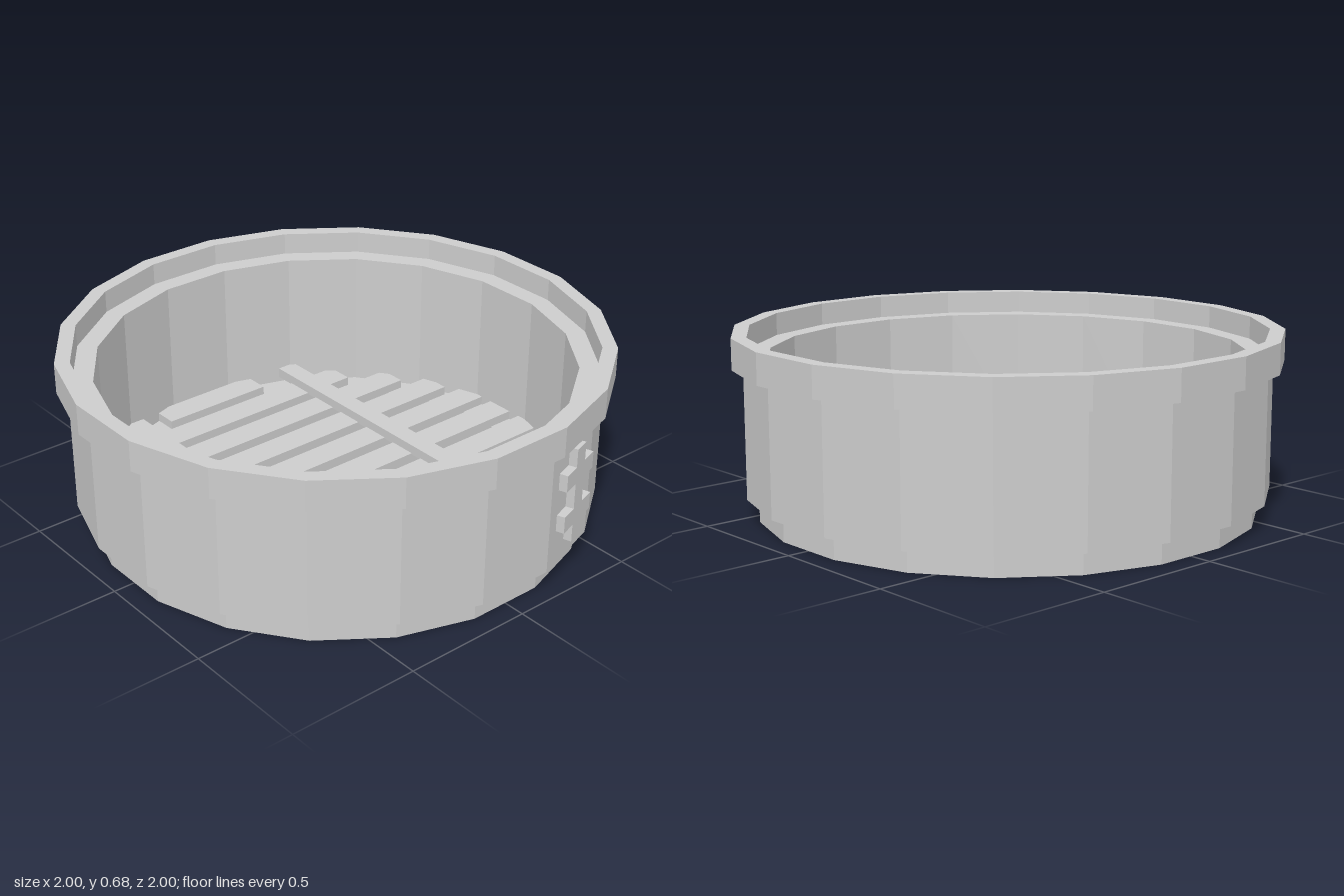
import * as THREE from 'three';

const SIDES = 20;
const HALF = Math.PI / SIDES;

export function createModel() {
  const group = new THREE.Group();
  const grey = new THREE.MeshStandardMaterial({ color: 0xcccccc });
  grey.name = 'grey';
  grey.flatShading = true;

  const add = (name, geometry, parent = group) => {
    const mesh = new THREE.Mesh(geometry, grey);
    mesh.name = name;
    parent.add(mesh);
    return mesh;
  };

  // Faceted ring from a closed profile of [distance to flat side, height]
  const ring = (name, profile) => {
    const points = [...profile, profile[0]].map(
      ([r, y]) => new THREE.Vector2(r / Math.cos(HALF), y));
    return add(name, new THREE.LatheGeometry(points, SIDES, HALF));
  };

  const box = (name, w, h, d, x, y, z, parent) => {
    const mesh = add(name, new THREE.BoxGeometry(w, h, d), parent);
    mesh.position.set(x, y, z);
    return mesh;
  };

  // Stepped basket: foot with an inner seat, wall with a ledge, raised rim
  ring('foot', [[0.77, 0], [0.917, 0], [0.917, 0.085], [0.87, 0.085], [0.87, 0.045], [0.77, 0.045]]);
  ring('wall', [[0.87, 0.085], [0.96, 0.085], [0.96, 0.59], [0.87, 0.59]]);
  ring('rim', [[0.945, 0.56], [1, 0.56], [1, 0.675], [0.945, 0.675]]);

  // Floor slats, shortened towards the front and back
  const halfLengths = [0.89, 0.87, 0.81, 0.71, 0.555, 0.232];
  for (let i = -5; i <= 5; i++) {
    box('slat', 2 * halfLengths[Math.abs(i)], 0.05, 0.11, 0, 0.055, i * 0.16 - 0.005);
  }

  // Two bars across the slats
  for (const side of [-1, 1]) {
    box('crossBar', 0.078, 0.04, 1.565, side * 0.38, 0.095, -0.003);
  }

  // Double-cross ornament on one front facet
  const ornament = new THREE.Group();
  ornament.name = 'ornament';
  ornament.rotation.y = 2 * HALF;
  group.add(ornament);
  box('ornamentStem', 0.064, 0.37, 0.05, 0, 0.34, 0.966, ornament);
  for (const y of [0.257, 0.422]) {
    box('ornamentArm', 0.2, 0.065, 0.05, 0, y, 0.966, ornament);
  }

  return group;
}
